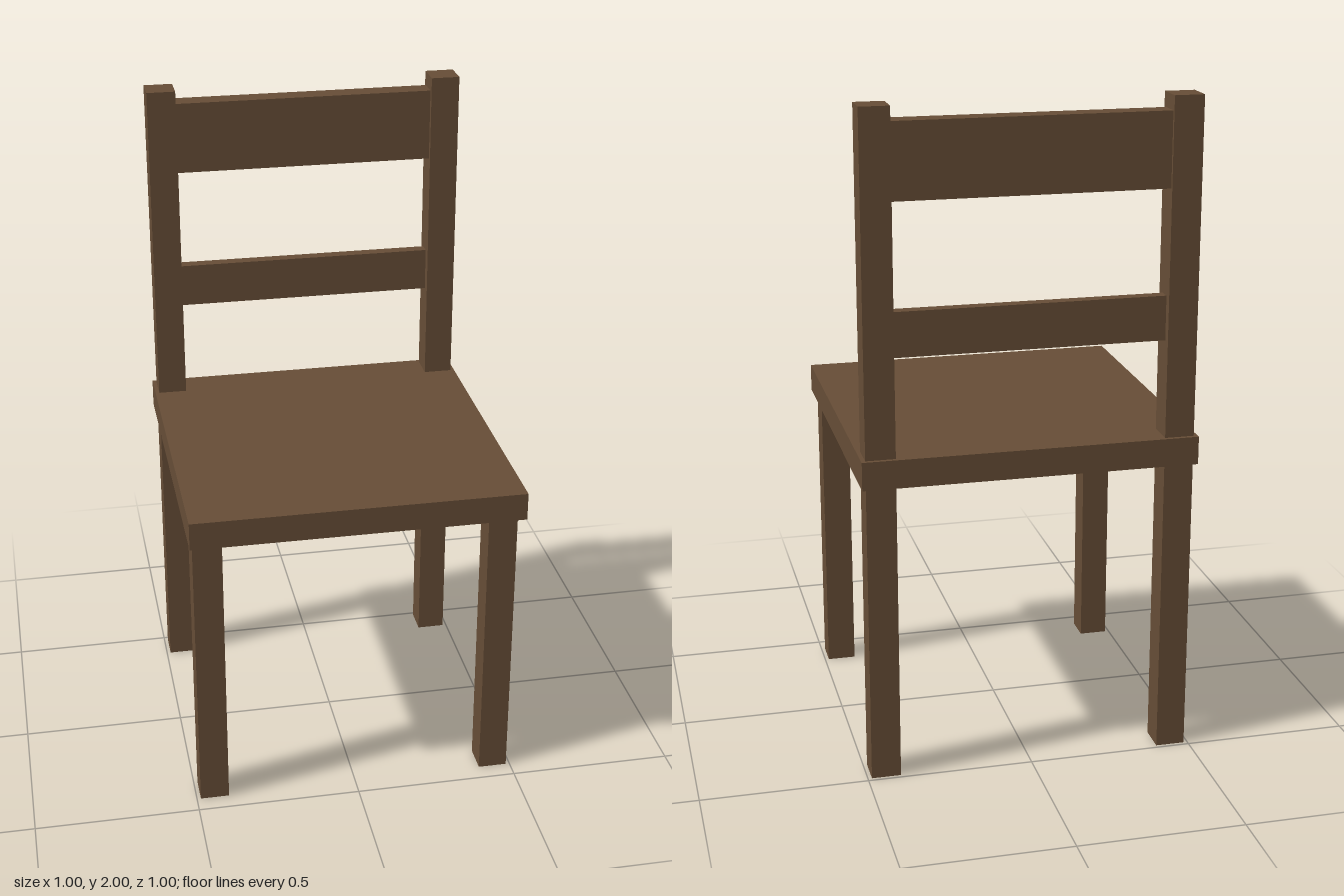
import * as THREE from 'three';

const wood = new THREE.MeshStandardMaterial({ color: 0x664d36, side: THREE.DoubleSide });

// Box given by its [min, max] extent on each axis
function box(name, [x0, x1], [y0, y1], [z0, z1], openBottom = false) {
  const geometry = new THREE.BoxGeometry(x1 - x0, y1 - y0, z1 - z0);
  if (openBottom) {
    // The fourth face of a box is its underside
    const index = Array.from(geometry.index.array);
    index.splice(18, 6);
    geometry.setIndex(index);
    geometry.clearGroups();
  }
  const mesh = new THREE.Mesh(geometry, wood);
  mesh.name = name;
  mesh.position.set((x0 + x1) / 2, (y0 + y1) / 2, (z0 + z1) / 2);
  return mesh;
}

export function createModel() {
  const chair = new THREE.Group();
  chair.name = 'chair';

  // Seat slab
  chair.add(box('seat', [-0.5, 0.5], [0.915, 1], [-0.5, 0.5]));

  // Hollow-footed legs; the back pair runs up into the backrest posts
  for (const [side, x] of [['left', [0.4, 0.488]], ['right', [-0.488, -0.4]]]) {
    chair.add(box(side + 'FrontLeg', x, [0, 0.915], [0.357, 0.445], true));
    chair.add(box(side + 'BackPost', x, [0, 2], [-0.488, -0.4], true));
  }

  // Backrest rails, the lower one thinner
  chair.add(box('upperRail', [-0.4, 0.4], [1.737, 1.957], [-0.479, -0.415]));
  chair.add(box('lowerRail', [-0.4, 0.4], [1.29, 1.423], [-0.464, -0.428]));

  return chair;
}
